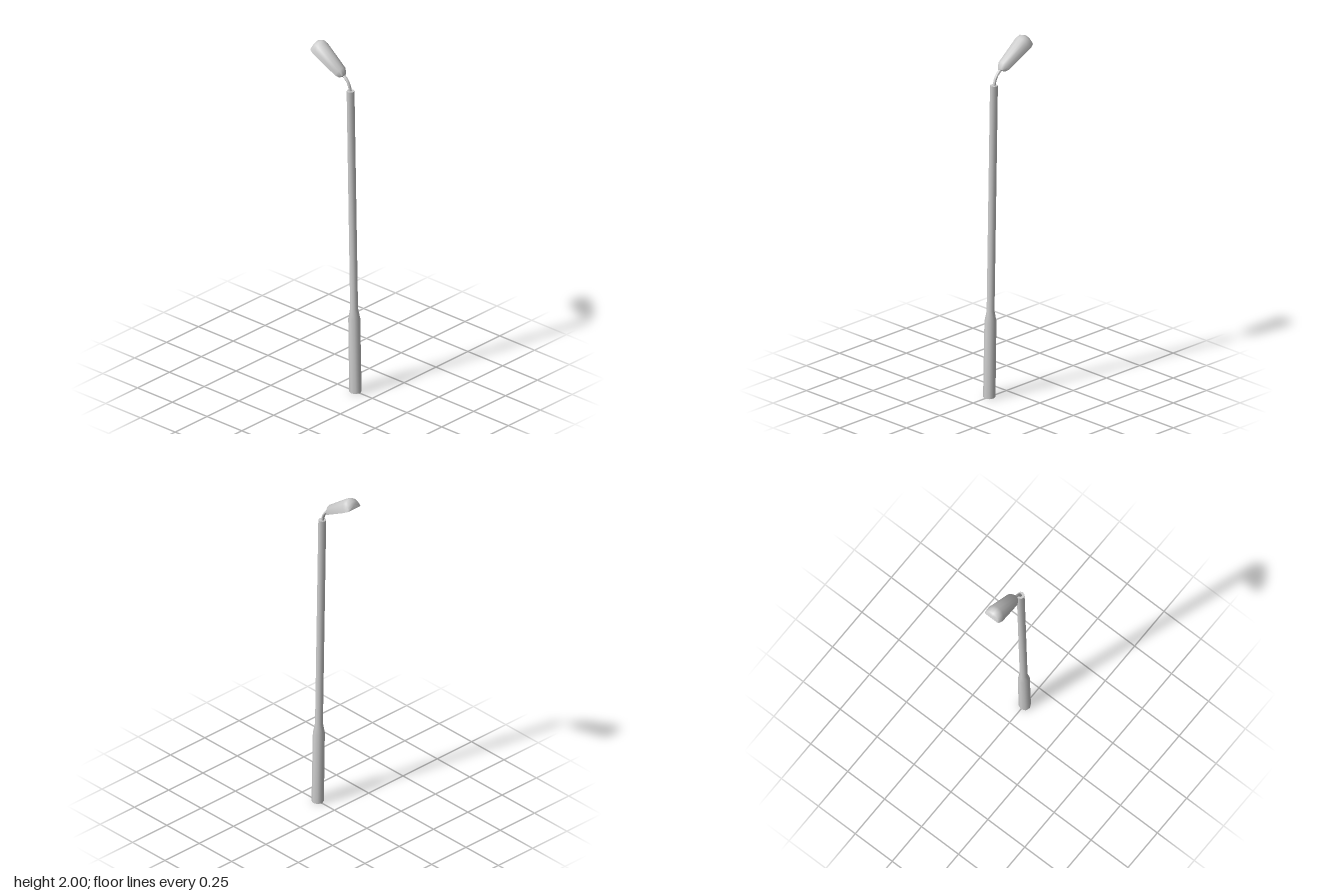
import * as THREE from 'three';
import { toCreasedNormals } from 'three/addons/utils/BufferGeometryUtils.js';

const grey = new THREE.MeshStandardMaterial({ color: 0xcccccc, side: THREE.DoubleSide });
const CREASE = 0.9;

function addPart(group, name, geometry) {
  const mesh = new THREE.Mesh(toCreasedNormals(geometry, CREASE), grey);
  mesh.name = name;
  group.add(mesh);
  return mesh;
}

// Octagonal stepped pole, open at the foot and sheared so that it leans back
function poleGeometry() {
  const profile = [[0.033, 0], [0.032, 0.43], [0.021, 0.49], [0.021, 1.77], [0, 1.77]];
  const geo = new THREE.LatheGeometry(profile.map(([r, y]) => new THREE.Vector2(r, y)), 8);
  const pos = geo.attributes.position;
  for (let i = 0; i < pos.count; i++) {
    pos.setZ(i, pos.getZ(i) + 0.129 - 0.035 * pos.getY(i) / 1.77);
  }
  return geo;
}

// Thin bent arm between pole and lamp head
function armGeometry() {
  const path = new THREE.CatmullRomCurve3([
    [1.76, 0.094], [1.80, 0.084], [1.83, 0.064], [1.85, 0.035], [1.86, 0.015],
  ].map(([y, z]) => new THREE.Vector3(0, y, z)));
  return new THREE.TubeGeometry(path, 10, 0.008, 8);
}

// Lamp head lofted from half-ellipse sections: domed above, flat below, bowed ends
function headGeometry() {
  // distance along the head, half width, height, bow of the section
  const sections = [
    [-0.003, 0.025, 0.018, 0.009],
    [0.028, 0.038, 0.043, 0],
    [0.195, 0.053, 0.063, 0],
    [0.218, 0.049, 0.061, 0],
    [0.236, 0.043, 0.042, -0.008],
  ];
  const arc = 8, n = arc + 1, verts = [], index = [];
  for (const [t, w, h, bow] of sections) {
    for (let i = 0; i < n; i++) {
      const a = Math.PI * i / arc, c = Math.cos(a);
      verts.push(w * c, h * Math.sin(a), -(t + bow * c * c));
    }
  }
  const last = sections.length - 1;
  for (let j = 0; j < last; j++) {
    for (let i = 0; i < n; i++) {
      const k = (i + 1) % n, a = j * n, b = a + n;
      index.push(a + i, b + i, a + k, a + k, b + i, b + k);
    }
  }
  // End caps as fans
  const start = verts.length / 3, end = start + 1;
  verts.push(0, sections[0][2] / 2, -sections[0][0]);
  verts.push(0, sections[last][2] / 2, -sections[last][0]);
  for (let i = 0; i < n; i++) {
    const k = (i + 1) % n;
    index.push(start, i, k, end, last * n + k, last * n + i);
  }
  const geo = new THREE.BufferGeometry();
  geo.setAttribute('position', new THREE.Float32BufferAttribute(verts, 3));
  geo.setIndex(index);
  return geo;
}

export function createModel() {
  const model = new THREE.Group();
  model.name = 'streetLamp';
  addPart(model, 'pole', poleGeometry());
  addPart(model, 'arm', armGeometry());
  const head = addPart(model, 'lampHead', headGeometry());
  head.position.set(0, 1.836, 0.042);
  head.rotation.x = Math.PI / 6;
  return model;
}
